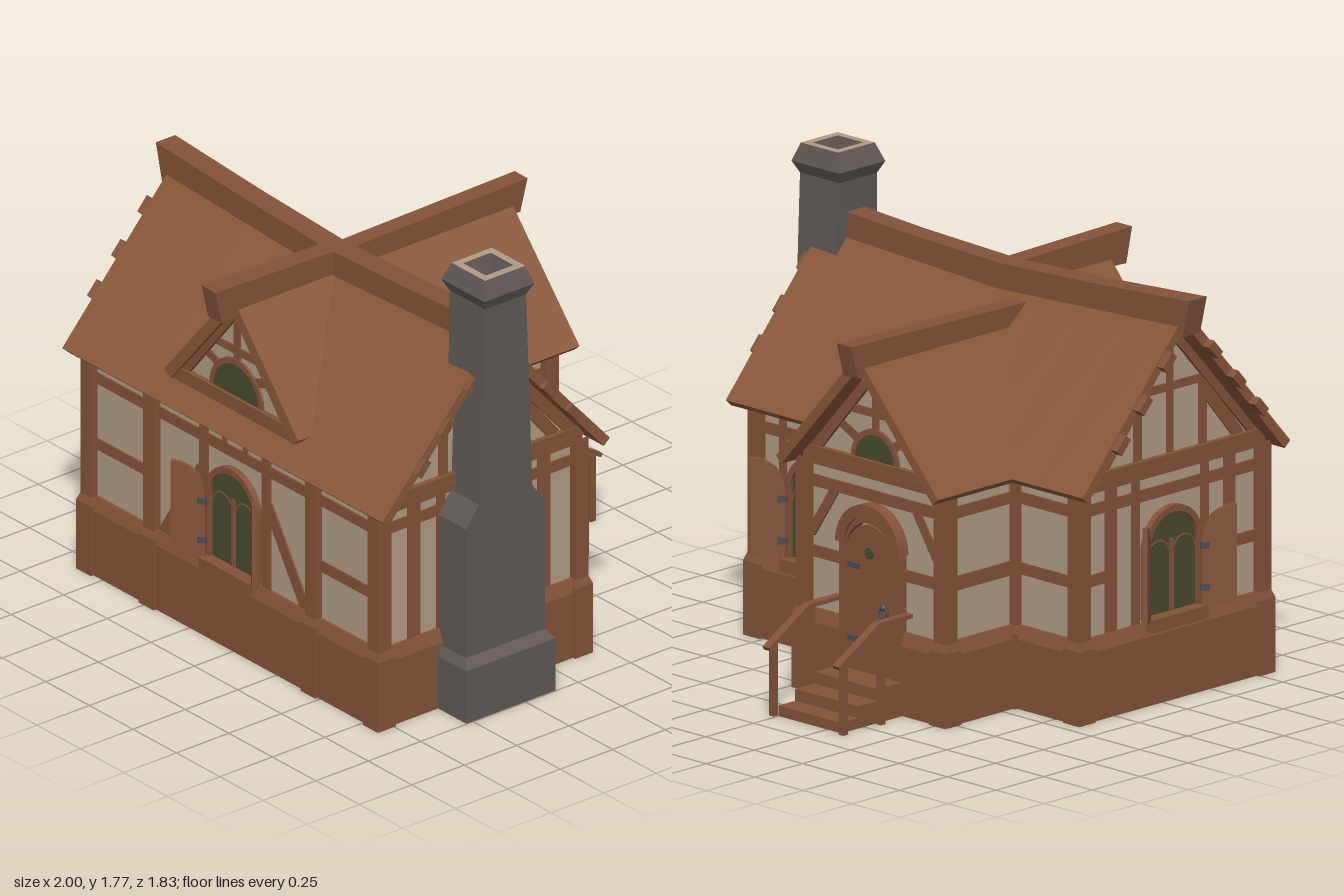
import * as THREE from 'three';

const mat = (name, color, side = THREE.FrontSide) => {
  const m = new THREE.MeshStandardMaterial({ color, side });
  m.name = name;
  return m;
};

export function createModel() {
  const timber = mat('timber', 0x84533a);
  const roofing = mat('roofing', 0x8a573a);
  const plaster = mat('plaster', 0xb09b84, THREE.DoubleSide);
  const glass = mat('glass', 0x494a2d);
  const stone = mat('stone', 0x605956);
  const iron = mat('iron', 0x4a4a4e);
  const root = new THREE.Group();
  root.name = 'cottage';

  const add = (parent, name, geo, m, x = 0, y = 0, z = 0) => {
    const mesh = new THREE.Mesh(geo, m);
    mesh.name = name;
    mesh.position.set(x, y, z);
    parent.add(mesh);
    return mesh;
  };
  const box = (parent, name, w, h, d, x, y, z, m = timber) =>
    add(parent, name, new THREE.BoxGeometry(w, h, d), m, x, y, z);
  // a frame whose local x runs along a wall and local z points outward
  const frame = (name, x, z, rot) => {
    const g = new THREE.Group();
    g.name = name;
    g.position.set(x, 0, z);
    g.rotation.y = rot;
    root.add(g);
    return g;
  };
  // straight timber between two points of a frame
  const bar = (g, name, u1, y1, u2, y2, w = 0.045, d = 0.014) => {
    const b = box(g, name, Math.hypot(u2 - u1, y2 - y1), w, d, (u1 + u2) / 2, (y1 + y2) / 2, 0);
    b.rotation.z = Math.atan2(y2 - y1, u2 - u1);
    return b;
  };
  const poly = pts => new THREE.Shape(pts.map(p => new THREE.Vector2(p[0], p[1])));
  const extrude = (shape, depth, steps = 1) => {
    const geo = new THREE.ExtrudeGeometry(shape, { depth, steps, bevelEnabled: false, curveSegments: 10 });
    return geo.translate(0, 0, -depth / 2);
  };
  // four-sided loft through rectangles [y, x0, x1, z0, z1]
  const loft = rects => {
    const pos = [];
    const ring = ([y, x0, x1, z0, z1]) => [[x0, y, z1], [x1, y, z1], [x1, y, z0], [x0, y, z0]];
    for (let i = 0; i + 1 < rects.length; i++) {
      const a = ring(rects[i]), b = ring(rects[i + 1]);
      for (let k = 0; k < 4; k++) {
        const n = (k + 1) % 4;
        pos.push(...a[k], ...a[n], ...b[n], ...a[k], ...b[n], ...b[k]);
      }
    }
    const geo = new THREE.BufferGeometry();
    geo.setAttribute('position', new THREE.Float32BufferAttribute(pos, 3));
    geo.computeVertexNormals();
    return geo;
  };
  const archShape = (r, y0, spring) => {
    const s = new THREE.Shape();
    s.moveTo(-r, y0);
    s.lineTo(r, y0);
    s.lineTo(r, spring);
    s.absarc(0, spring, r, 0, Math.PI, false);
    s.lineTo(-r, y0);
    return s;
  };
  const archFrame = (r, t, y0, spring) => {
    const s = archShape(r + t, y0, spring);
    s.holes.push(archShape(r, y0 + 0.004, spring));
    return s;
  };

  // ---- walls: plaster, stepped plinth and rails ----
  const wall = (name, x, z, rot, half) => {
    const g = frame(name, x, z, rot);
    add(g, 'plasterPanel', new THREE.PlaneGeometry(half * 2, 0.62), plaster, 0, 0.585, 0);
    const profile = poly([[-0.02, 0], [0.03, 0], [0.03, 0.265], [0.012, 0.315], [-0.02, 0.315]]);
    add(g, 'plinth', extrude(profile, half * 2).rotateY(-Math.PI / 2), timber);
    bar(g, 'topRail', -half, 0.8, half, 0.8);
    bar(g, 'wallPlate', -half, 0.89, half, 0.89, 0.04, 0.05);
    return g;
  };
  const post = (x, z) => {
    const r = (y, h) => [y, x - h, x + h, z - h, z + h];
    add(root, 'post', loft([r(0, 0), r(0, 0.0425), r(0.285, 0.0425), r(0.315, 0.031), r(0.89, 0.031)]), timber);
  };

  // ---- arched window with sill and open shutters ----
  const arched = (parent, u) => {
    const g = new THREE.Group();
    g.name = 'window';
    g.position.x = u;
    parent.add(g);
    add(g, 'pane', extrude(archShape(0.13, 0.335, 0.59), 0.018), glass);
    add(g, 'windowFrame', extrude(archFrame(0.125, 0.025, 0.325, 0.59), 0.05), timber);
    box(g, 'mullion', 0.02, 0.28, 0.03, 0, 0.47, 0);
    for (const s of [-1, 1]) {
      const t = new THREE.TorusGeometry(0.058, 0.007, 4, 10, Math.PI);
      add(g, 'tracery', t, timber, s * 0.066, 0.555, 0.006);
    }
    box(g, 'sill', 0.29, 0.05, 0.08, 0, 0.31, 0.02);
    for (const s of [1, -1]) {
      const leaf = new THREE.Group();
      leaf.name = 'shutter';
      leaf.position.set(-s * 0.138, 0, 0.03);
      leaf.rotation.y = -s * 2.47;
      g.add(leaf);
      const pts = [[0, 0.335], [0.13, 0.335]];
      for (let i = 0; i <= 6; i++) {
        const a = (i / 6) * Math.PI / 2;
        pts.push([0.13 - 0.13 * Math.sin(a), 0.59 + 0.125 * Math.cos(a)]);
      }
      add(leaf, 'shutterBoard', extrude(poly(pts.map(p => [p[0] * s, p[1]])), 0.018), timber);
      for (const y of [0.4, 0.56]) box(leaf, 'hinge', 0.035, 0.025, 0.024, s * 0.012, y, 0, iron);
    }
  };

  // ---- gable triangle with timbering, r > 0 adds a half-round light ----
  const gable = (g, half, y0, y1, r) => {
    const at = k => half * (1 - k);
    const yk = k => y0 + (y1 - y0) * k;
    add(g, 'gablePanel', new THREE.ShapeGeometry(poly([[-half, y0], [half, y0], [0, y1]])), plaster);
    bar(g, 'tieBeam', -half, y0 + 0.02, half, y0 + 0.02, 0.055, 0.045);
    bar(g, 'collar', -at(0.56), yk(0.56), at(0.56), yk(0.56), 0.032);
    bar(g, 'kingPost', 0, y0, 0, y1, 0.032);
    for (const s of [-1, 1]) {
      bar(g, 'rafter', s * half, y0, 0, y1, 0.06, 0.03);
      if (r) bar(g, 'brace', s * r * 0.6, y0 + r, s * at(0.42), yk(0.42), 0.035);
      else {
        bar(g, 'stud', s * 0.17, y0, s * 0.17, yk(0.56), 0.04);
        bar(g, 'brace', s * 0.36, y0 + 0.04, s * 0.17, yk(0.5), 0.05);
      }
    }
    if (r) {
      add(g, 'gableLight', extrude(archShape(r, y0 + 0.04, y0 + 0.045), 0.018), glass);
      add(g, 'gableArch', extrude(archFrame(r, 0.022, y0 + 0.03, y0 + 0.045), 0.022), timber);
    }
  };

  // front wall
  const front = wall('frontWall', -0.02, 0.785, 0, 0.825);
  for (const s of [-1, 1]) {
    bar(front, 'midRail', s * 0.465, 0.53, s * 0.825, 0.53);
    bar(front, 'brace', s * 0.41, 0.31, s * 0.19, 0.66, 0.055);
    bar(front, 'stud', s * 0.18, 0.31, s * 0.18, 0.88, 0.05);
    bar(front, 'shortStud', s * 0.06, 0.8, s * 0.06, 0.88, 0.025);
    post(-0.02 + s * 0.465, 0.785);
    for (const z of [0.785, -0.155]) post(-0.02 + s * 0.825, z);
    post(-0.16 + s * 0.355, -0.52);
    post(-0.16 + s * 0.355, -0.155);
  }
  arched(front, 0);

  // gable end walls
  for (const s of [-1, 1]) {
    const g = wall(s < 0 ? 'leftEndWall' : 'rightEndWall', -0.02 + s * 0.825, 0.315, s * Math.PI / 2, 0.47);
    for (const k of [-1, 1]) {
      bar(g, 'stud', k * 0.31, 0.31, k * 0.31, 0.88, 0.058);
      bar(g, 'stud', k * 0.18, 0.31, k * 0.18, 0.88, 0.04);
      if (s < 0) bar(g, 'midRail', k * 0.31, 0.53, k * 0.47, 0.53);
    }
    gable(g, 0.48, 0.89, 1.425, 0);
    if (s < 0) arched(g, 0);
  }

  // rear walls beside the wing
  const rear = wall('rearWall', 0.5, -0.155, Math.PI, 0.305);
  arched(rear, 0);
  for (const s of [-1, 1]) {
    bar(rear, 'midRail', s * 0.15, 0.53, s * 0.305, 0.53);
    bar(rear, 'stud', s * 0.18, 0.31, s * 0.18, 0.88, 0.035);
  }
  const rearSmall = wall('rearSideWall', -0.68, -0.155, Math.PI, 0.165);
  bar(rearSmall, 'midRail', -0.165, 0.53, 0.165, 0.53);

  // wing walls
  for (const s of [-1, 1]) {
    const g = wall('wingSideWall', -0.16 + s * 0.355, -0.3375, s * Math.PI / 2, 0.1825);
    bar(g, 'midRail', -0.18, 0.53, 0.18, 0.53, 0.055);
  }
  const wing = wall('wingEndWall', -0.16, -0.52, Math.PI, 0.355);
  gable(wing, 0.35, 0.89, 1.295, 0.1);
  for (const s of [-1, 1]) {
    bar(wing, 'midRail', s * 0.15, 0.53, s * 0.355, 0.53);
    bar(wing, 'brace', s * 0.33, 0.6, s * 0.2, 0.8, 0.04);
  }

  // door with hood
  add(wing, 'door', extrude(archShape(0.115, 0.13, 0.58), 0.07), timber);
  add(wing, 'doorFrame', extrude(archFrame(0.115, 0.04, 0.12, 0.59), 0.08), timber);
  const hood = new THREE.Shape();
  hood.absarc(0, 0.61, 0.165, 0, Math.PI, false);
  hood.absarc(0, 0.61, 0.12, Math.PI, 0, true);
  add(wing, 'doorHood', extrude(hood, 0.1), timber);
  for (const u of [-0.055, 0, 0.055]) box(wing, 'doorSeam', 0.006, 0.46, 0.006, u, 0.37, 0.034);
  add(wing, 'doorLight', new THREE.CylinderGeometry(0.022, 0.022, 0.008, 12).rotateX(Math.PI / 2), glass, 0, 0.59, 0.037);
  add(wing, 'doorRing', new THREE.TorusGeometry(0.02, 0.006, 6, 14), iron, 0.08, 0.38, 0.045);
  add(wing, 'doorKnob', new THREE.SphereGeometry(0.013, 10, 8), iron, 0.08, 0.4, 0.045);
  for (const y of [0.25, 0.53]) box(wing, 'doorHinge', 0.06, 0.02, 0.008, -0.08, y, 0.037, iron);

  // steps and railings
  for (const [z, h] of [[-0.68, 0.13], [-0.78, 0.085], [-0.868, 0.04]])
    box(root, 'step', 0.325, h, -0.53 - z, -0.16, h / 2, (z - 0.53) / 2);
  for (const s of [-1, 1]) {
    const g = frame('railing', -0.16 + s * 0.18, 0, Math.PI / 2);
    bar(g, 'railPost', 0.68, 0.0, 0.68, 0.385, 0.024, 0.024);
    bar(g, 'railPost', 0.875, 0, 0.875, 0.275, 0.024, 0.024);
    bar(g, 'handrail', 0.53, 0.385, 0.702, 0.385, 0.016, 0.034);
    bar(g, 'handrail', 0.695, 0.388, 0.912, 0.262, 0.016, 0.034);
  }

  // ---- roofs: chevron section along z ----
  const chevron = (half, eave, ridge, t, len, steps) => {
    const a = Math.atan2(ridge - eave, half), dx = t * Math.sin(a), dy = t * Math.cos(a);
    return extrude(poly([[-half, eave], [-half + dx, eave - dy], [0, ridge - t / Math.cos(a)],
      [half - dx, eave - dy], [half, eave], [0, ridge]]), len, steps);
  };
  const moveVerts = (geo, fn) => {
    const p = geo.attributes.position, v = new THREE.Vector3();
    for (let i = 0; i < p.count; i++) {
      fn(v.fromBufferAttribute(p, i));
      p.setXYZ(i, v.x, v.y, v.z);
    }
    geo.computeVertexNormals();
    return geo;
  };
  // main roof, its ridge sagging toward the middle
  const mainRoof = chevron(0.542, 0.892, 1.497, 0.038, 1.84, 8).rotateY(Math.PI / 2);
  moveVerts(mainRoof, v => { v.y -= 0.047 * (1 - Math.abs(v.x) / 0.92) * Math.max(0, v.y - 0.87) / 0.627; });
  add(root, 'mainRoof', mainRoof, roofing, -0.02, 0, 0.308);
  // smaller roofs end just beneath the main slopes
  const dormer = moveVerts(chevron(0.385, 1.005, 1.458, 0.045, 2, 1), v => {
    v.z = v.z > 0 ? 0.807 : 0.81 - (v.y - 0.892) * 0.92;
  });
  add(root, 'dormerRoof', dormer, roofing, -0.02);
  const wingRoof = moveVerts(chevron(0.418, 0.892, 1.36, 0.038, 2, 1), v => {
    v.z = v.z < 0 ? -0.622 : -0.2 + (v.y - 0.892) * 0.92;
  });
  add(root, 'wingRoof', wingRoof, roofing, -0.16);
  gable(frame('dormerGable', -0.02, 0.775, 0), 0.34, 0.985, 1.4, 0.13);

  // ridge beams with slanted ends
  add(root, 'mainRidge', extrude(poly([[-1, 1.555], [-0.965, 1.41], [-0.02, 1.37], [0.92, 1.4],
    [0.95, 1.548], [0.45, 1.518], [-0.02, 1.502], [-0.5, 1.523]]), 0.092), timber, 0, 0, 0.308);
  const zBeam = (name, pts, w, x) =>
    add(root, name, extrude(poly(pts), w).rotateY(-Math.PI / 2), timber, x, 0, 0);
  zBeam('dormerRidge', [[0.34, 1.4], [0.885, 1.38], [0.915, 1.515], [0.34, 1.503]], 0.08, -0.02);
  zBeam('wingRidge', [[-0.69, 1.412], [-0.655, 1.285], [0.1, 1.29], [0.225, 1.396]], 0.075, -0.16);

  // purlin ends
  for (const x of [-0.925, 0.87]) for (const s of [-1, 1]) for (const d of [0.12, 0.245, 0.36]) {
    const p = box(root, 'purlinEnd', 0.1, 0.034, 0.07, x, 1.497 - 1.116 * d - 0.032, 0.308 + s * d);
    p.rotation.x = s * 0.84;
  }

  // ---- chimney ----
  const top = [1.77, 0.77, 0.962, 0.22, 0.412];
  const lip = [1.77, 0.8, 0.93, 0.25, 0.382];
  add(root, 'chimney', loft([[0, 0.9, 0.9, 0.317, 0.317], [0, 0.8, 0.997, 0.105, 0.53], [0.215, 0.8, 0.997, 0.105, 0.53],
    [0.25, 0.8, 0.966, 0.13, 0.507], [0.78, 0.8, 0.966, 0.13, 0.507], [0.86, 0.78, 0.966, 0.19, 0.443],
    [1.655, 0.762, 0.966, 0.22, 0.415], [1.7, 0.74, 0.987, 0.197, 0.437], top]), stone);
  add(root, 'chimneyRim', loft([top, lip]), plaster);
  add(root, 'flue', loft([lip, [1.66, 0.83, 0.9, 0.28, 0.352], [1.66, 0.865, 0.865, 0.316, 0.316]]), stone);
  return root;
}
